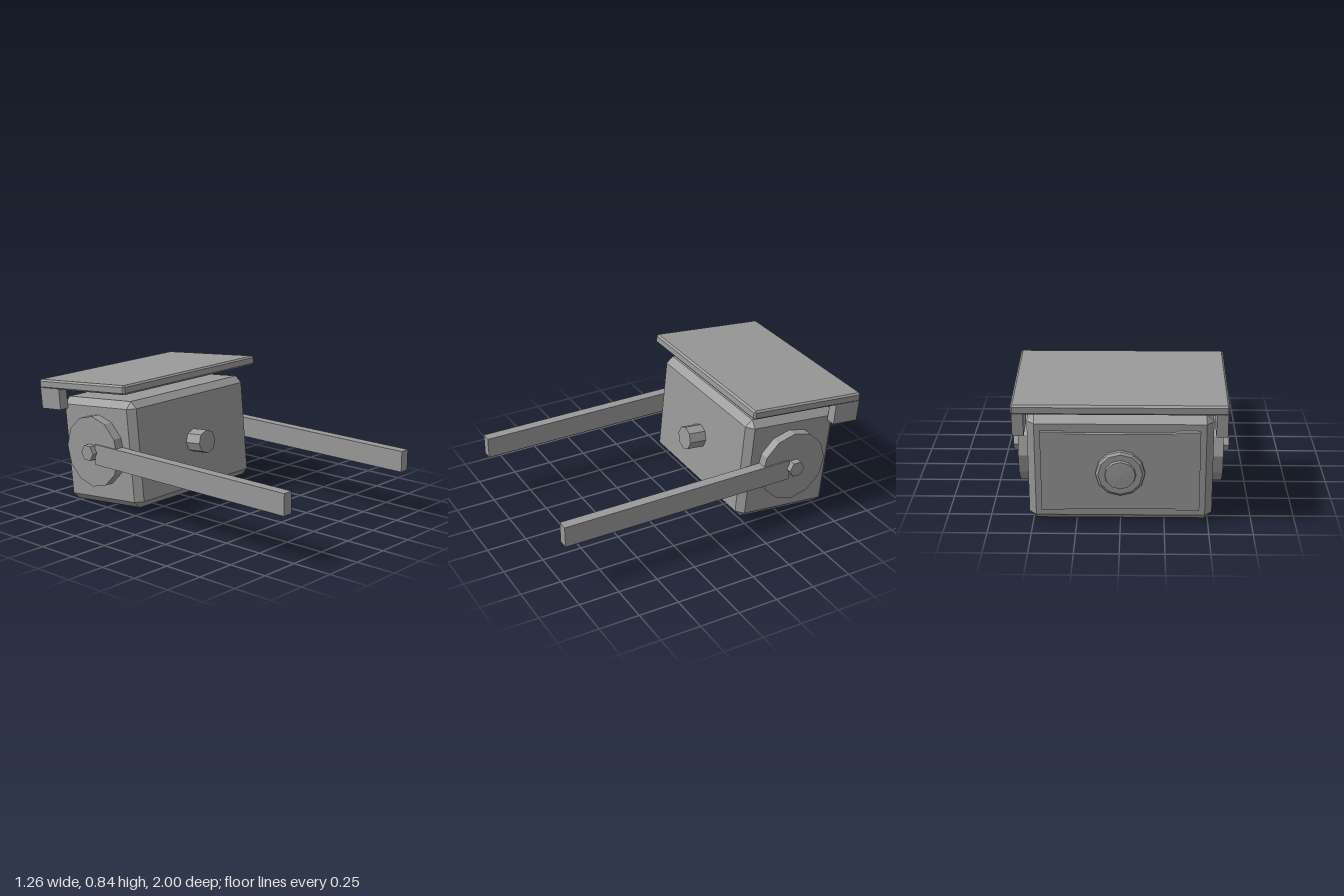
import * as THREE from 'three';
import { ConvexGeometry } from 'three/addons/geometries/ConvexGeometry.js';

const grey = new THREE.MeshStandardMaterial({ color: 0x999999, flatShading: true });
grey.name = 'grey';

function add(parent, name, geometry, x = 0, y = 0, z = 0) {
  const mesh = new THREE.Mesh(geometry, grey);
  mesh.name = name;
  mesh.position.set(x, y, z);
  parent.add(mesh);
  return mesh;
}

// Box with every edge cut at 45 degrees
function chamferBox(w, h, d, c) {
  const half = [w / 2, h / 2, d / 2];
  const points = [];
  for (const sx of [-1, 1]) for (const sy of [-1, 1]) for (const sz of [-1, 1]) {
    for (let axis = 0; axis < 3; axis++) {
      const p = half.map((v, i) => (i === axis ? v : v - c));
      points.push(new THREE.Vector3(p[0] * sx, p[1] * sy, p[2] * sz));
    }
  }
  return new ConvexGeometry(points);
}

// Rear panel outline with shallow recesses along the top and bottom edges
function panelGeometry(hw, hh, depth) {
  const n = 0.012, a = hw * 0.72, b = hw * 0.68;
  const edge = [[-hw, hh], [-a, hh], [-b, hh - n], [b, hh - n], [a, hh], [hw, hh]];
  const outline = [...edge, ...edge.map(([x, y]) => [-x, -y])];
  const shape = new THREE.Shape(outline.map(([x, y]) => new THREE.Vector2(x, y)));
  return new THREE.ExtrudeGeometry(shape, { depth, bevelEnabled: false });
}

export function createModel() {
  const model = new THREE.Group();
  model.name = 'pivotingBox';
  const pivotY = 0.38, pivotZ = -0.535;

  // Tilted assembly, hinged on the side bolts
  const head = new THREE.Group();
  head.name = 'tiltedHead';
  head.position.set(0, pivotY, pivotZ);
  head.rotation.x = -0.096;
  model.add(head);

  const midY = -0.017;
  add(head, 'body', chamferBox(1.05, 0.664, 0.64, 0.042), 0, midY, -0.003);
  add(head, 'roofPlate', chamferBox(1.2, 0.058, 0.77, 0.011), 0, 0.405, -0.04);
  add(head, 'rearPanel', panelGeometry(0.45, 0.25, 0.04), 0, midY, -0.344);

  // Front knob
  const knob = new THREE.CylinderGeometry(0.075, 0.075, 0.13, 8).rotateX(Math.PI / 2);
  add(head, 'frontKnob', knob, 0, midY, 0.365);

  // Stepped round fitting on the rear panel
  const profile = [[0.14, 0], [0.14, 0.022], [0.125, 0.032], [0.09, 0.032], [0.085, 0.046],
    [0.05, 0.048], [0, 0.05]].map(([r, y]) => new THREE.Vector2(r, y));
  add(head, 'rearFitting', new THREE.LatheGeometry(profile, 12), 0, midY, -0.343)
    .rotation.x = -Math.PI / 2;

  for (const [side, s] of [['left', 1], ['right', -1]]) {
    // Blocks hanging below the rear corners of the roof
    add(head, side + 'RoofBracket', new THREE.BoxGeometry(0.064, 0.135, 0.173), s * 0.562, 0.315, -0.337);

    // Pivot disc, hexagonal bolt and long arm
    const disc = new THREE.CylinderGeometry(0.225, 0.225, 0.075, 12).rotateZ(Math.PI / 2);
    add(model, side + 'PivotDisc', disc, s * 0.548, pivotY, pivotZ);
    const bolt = new THREE.CylinderGeometry(0.052, 0.052, 0.12, 6).rotateZ(Math.PI / 2);
    add(model, side + 'Bolt', bolt, s * 0.568, pivotY, pivotZ);
    add(model, side + 'Arm', new THREE.BoxGeometry(0.064, 0.13, 1.5), s * 0.562, 0.37, 0.25);
  }
  return model;
}
